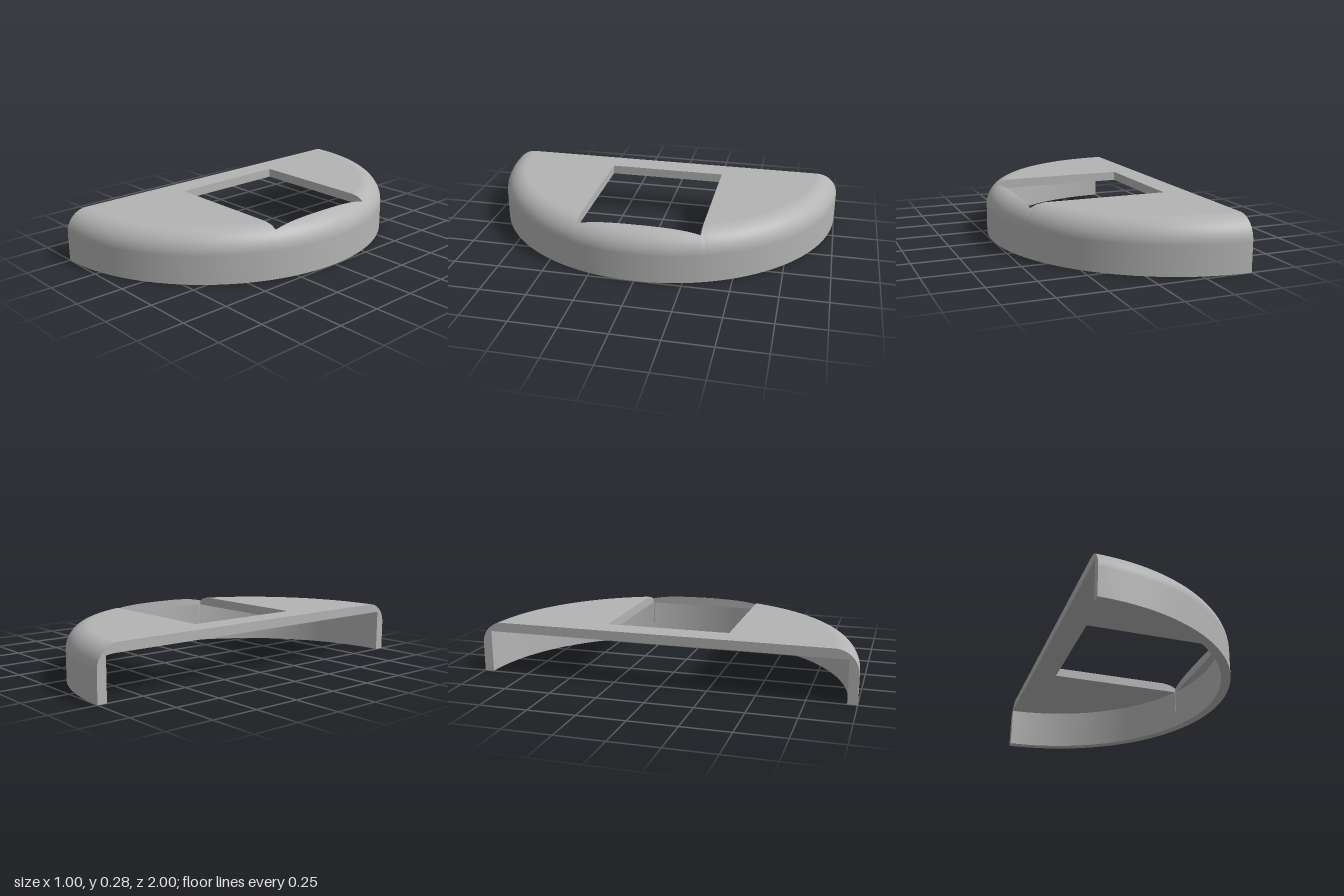
import * as THREE from 'three';

const DEG = Math.PI / 180;
const R = 1, INNER = 0.95, FLAT = 0.88;        // outer wall, inner wall, edge of flat top
const FILLET = R - FLAT;
const TOP = 0.275, CEILING = 0.225, SLOT = 0.1;
const SHOULDER = TOP - FILLET;
// window, measured from the centre of the half disc
const WIN = { near: 0.135, far: 0.895, half: 0.33 };

// corner angles where the window meets the rim
const EXIT = Math.asin(WIN.half / FLAT);
const CORNER = Math.atan2(WIN.half, WIN.far);
const SLOT_A = Math.acos(WIN.far / INNER);
const SLOT_B = Math.asin(WIN.half / INNER);
const special = [SLOT_A - 1e-4, SLOT_A + 1e-4, CORNER, SLOT_B - 1e-4, SLOT_B + 1e-4, EXIT];

const angles = special.flatMap((a) => [a, -a]);
for (let d = -90; d <= 90; d += 1.5) angles.push(d * DEG);
angles.sort((a, b) => a - b);

// innermost radius of the rim, where the window cuts into it
function innerEdge(a) {
  const reach = Math.min(WIN.far / Math.cos(a), WIN.half / Math.max(1e-6, Math.abs(Math.sin(a))));
  return Math.max(FLAT, reach);
}

// outside of the rim: straight wall, then a quarter-round up to the inner edge
function outerProfile(a) {
  const end = Math.acos(Math.min(1, (innerEdge(a) - FLAT) / FILLET));
  const pts = [[R, 0]];
  for (let i = 0; i <= 14; i++) {
    const t = (end * i) / 14;
    pts.push([FLAT + FILLET * Math.cos(t), SHOULDER + FILLET * Math.sin(t)]);
  }
  return pts;
}

// inside corners of the rim: window edge, ceiling, inner wall, foot
function innerProfile(a) {
  const r = innerEdge(a);
  const low = r > INNER ? SLOT : CEILING;
  return [outerProfile(a).pop(), [r, low], [INNER, low], [INNER, 0], [R, 0]];
}

// sweeps a profile that may change with the angle around the half circle
function sweep(profile, list) {
  const pos = [], index = [];
  const n = profile(list[0]).length;
  list.forEach((a, i) => {
    for (const [r, y] of profile(a)) pos.push(r * Math.cos(a), y, r * Math.sin(a));
    if (i === list.length - 1) return;
    for (let j = 0; j < n - 1; j++) {
      const p = i * n + j, q = p + n;
      index.push(p, p + 1, q, p + 1, q + 1, q);
    }
  });
  const g = new THREE.BufferGeometry();
  g.setAttribute('position', new THREE.Float32BufferAttribute(pos, 3));
  g.setIndex(index);
  g.computeVertexNormals();
  return g;
}

export function createModel() {
  const model = new THREE.Group();
  model.name = 'halfRoundCover';
  const body = new THREE.Group();
  body.position.x = -0.5;
  model.add(body);

  const grey = new THREE.MeshStandardMaterial({ color: 0xb4b4b4 });
  grey.name = 'plain grey';
  const add = (geometry, name) => {
    const mesh = new THREE.Mesh(geometry, grey);
    mesh.name = name;
    body.add(mesh);
    return mesh;
  };

  // rounded outer wall
  add(sweep(outerProfile, angles), 'outerWall');

  // sharp-edged inner faces, one strip each
  const windowAngles = angles.filter((a) => Math.abs(a) <= EXIT + 1e-9);
  ['windowFrontEdge', 'ceilingRim', 'innerWall', 'foot'].forEach((name, k) => {
    const strip = (a) => innerProfile(a).slice(k, k + 2);
    add(sweep(strip, k === 0 ? windowAngles : angles), name);
  });

  // flat top plate, notched by the window
  const arc = (list) => list.map((a) => new THREE.Vector2(FLAT * Math.cos(a), FLAT * Math.sin(a)));
  const outline = [
    ...arc(angles.filter((a) => a <= -EXIT + 1e-9)),
    new THREE.Vector2(WIN.near, -WIN.half),
    new THREE.Vector2(WIN.near, WIN.half),
    ...arc(angles.filter((a) => a >= EXIT - 1e-9)),
  ];
  const plate = new THREE.ExtrudeGeometry(new THREE.Shape(outline), {
    depth: TOP - CEILING, bevelEnabled: false,
  });
  plate.rotateX(-Math.PI / 2);
  add(plate, 'topPlate').position.y = CEILING;

  // cut ends of the rim on the straight side
  const section = [...outerProfile(Math.PI / 2), ...innerProfile(Math.PI / 2).slice(1, 4)];
  for (const side of [1, -1]) {
    const shape = new THREE.Shape(section.map(([r, y]) => new THREE.Vector2(side * r, y)));
    const cap = new THREE.ShapeGeometry(shape);
    cap.rotateY(-Math.PI / 2);
    add(cap, side > 0 ? 'frontCutEnd' : 'backCutEnd');
  }
  return model;
}
